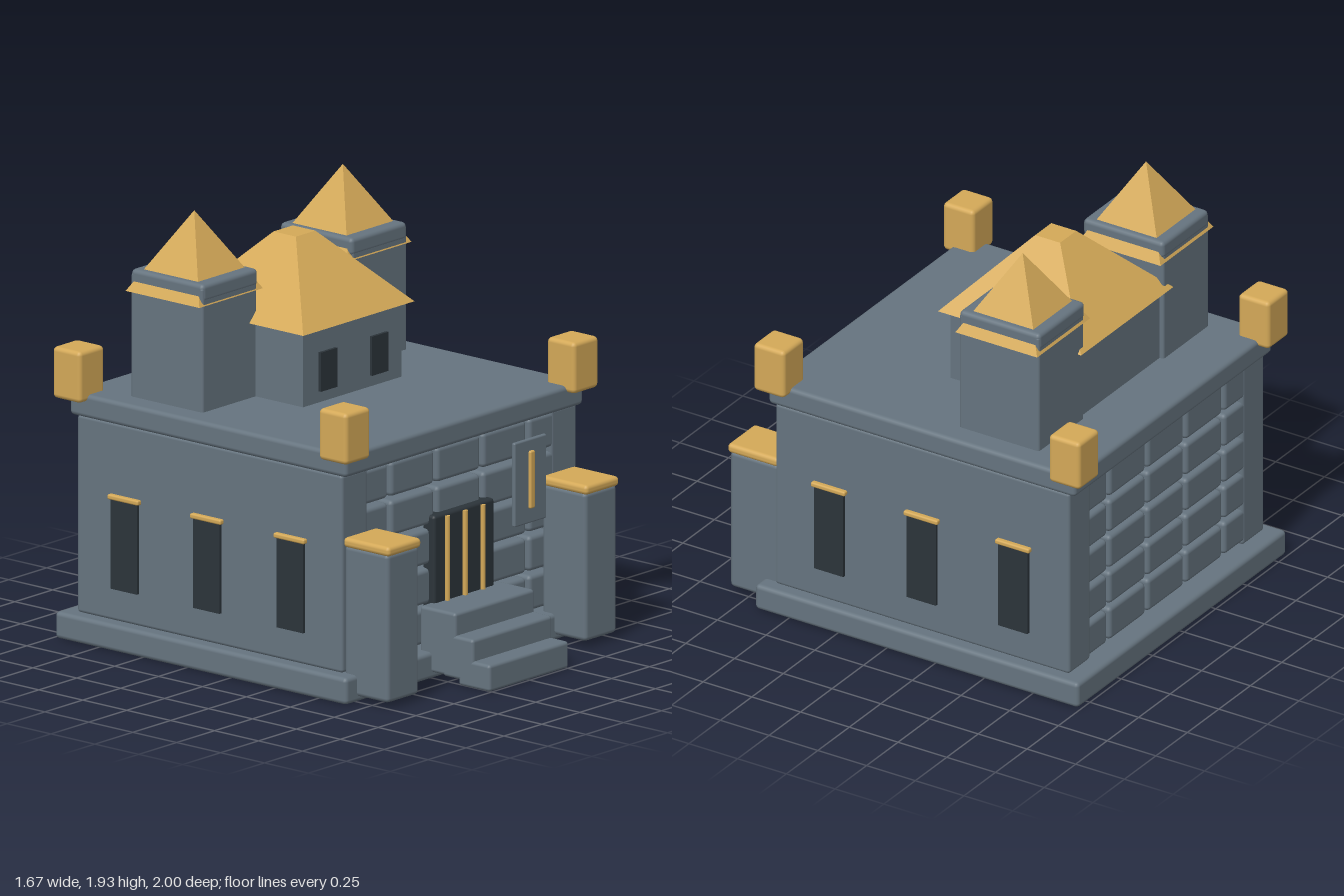
import * as THREE from 'three';
import { RoundedBoxGeometry } from 'three/addons/geometries/RoundedBoxGeometry.js';

export function createModel() {
  const model = new THREE.Group();
  model.name = 'fortress';

  const material = (name, color) => {
    const m = new THREE.MeshStandardMaterial({ color });
    m.name = name;
    return m;
  };
  const stone = material('slate stone', 0x66747f);
  const gold = material('gold', 0xd4a958);
  const dark = material('dark opening', 0x2c343a);

  const add = (name, geometry, mat) => {
    const mesh = new THREE.Mesh(geometry, mat);
    mesh.name = name;
    model.add(mesh);
    return mesh;
  };

  // Box from its limits on each axis, with an optional rounded edge
  const block = (name, mat, [x0, x1], [y0, y1], [z0, z1], r = 0) => {
    const size = [x1 - x0, y1 - y0, z1 - z0];
    const g = r ? new RoundedBoxGeometry(...size, 2, r) : new THREE.BoxGeometry(...size);
    g.translate((x0 + x1) / 2, (y0 + y1) / 2, (z0 + z1) / 2);
    return add(name, g, mat);
  };

  // Limits mirrored to the chosen side
  const side = (s, a, b) => (s > 0 ? [a, b] : [-b, -a]);

  // Four-sided roof; half widths at top and bottom
  const hipRoof = (name, top, bottom, y0, y1, x, z) => {
    const k = Math.SQRT2;
    let g = new THREE.CylinderGeometry(top * k, bottom * k, y1 - y0, 4);
    g.rotateY(Math.PI / 4);
    g = g.toNonIndexed();
    g.computeVertexNormals();
    g.translate(x, (y0 + y1) / 2, z);
    return add(name, g, gold);
  };

  // Plinth and roof slab
  block('plinth', stone, [-0.83, 0.83], [0, 0.12], [-0.99, 0.67], 0.02);
  block('roofSlab', stone, [-0.785, 0.785], [1.0, 1.105], [-0.945, 0.63], 0.02);

  // Block-built front and back walls with open joints
  for (const [name, z0, z1] of [['frontWallBlock', 0.44, 0.598], ['backWallBlock', -0.908, -0.75]]) {
    for (let row = 0; row < 5; row++) {
      for (let col = -2; col <= 2; col++) {
        const x = col * 0.304;
        const y = 0.135 + row * 0.176;
        block(name, stone, [x - 0.143, x + 0.143], [y, y + 0.157], [z0, z1], 0.02);
      }
    }
  }

  for (const s of [1, -1]) {
    // Solid side walls
    block('sideWall', stone, side(s, 0.605, 0.775), [0.12, 1.005], [-0.91, 0.6], 0.015);

    // Side windows with gold lintels
    for (const z of [0.315, -0.16, -0.63]) {
      block('sideWindow', dark, side(s, 0.772, 0.79), [0.265, 0.668], [z - 0.075, z + 0.075]);
      block('windowLintel', gold, side(s, 0.772, 0.8), [0.665, 0.688], [z - 0.088, z + 0.088], 0.008);
    }

    // Front pillars
    block('pillar', stone, side(s, 0.547, 0.757), [0.025, 0.69], [0.595, 0.845], 0.02);
    block('pillarCap', gold, side(s, 0.543, 0.763), [0.682, 0.726], [0.592, 0.855], 0.018);

    // Corner blocks on the roof
    for (const z of [0.515, -1.0]) {
      block('cornerBlock', gold, side(s, 0.67, 0.835), [1.075, 1.305], [z, z + 0.16], 0.02);
    }

    // Rear towers with caps and pyramid roofs
    block('tower', stone, side(s, 0.315, 0.675), [0.84, 1.66], [-0.69, -0.28], 0.012);
    block('towerCap', stone, side(s, 0.308, 0.675), [1.595, 1.675], [-0.692, -0.278], 0.02);
    hipRoof('towerRoof', 0, 0.21, 1.58, 1.935, s * 0.49, -0.487);

    // Keep windows
    block('keepWindow', dark, side(s, 0.115, 0.222), [1.155, 1.33], [-0.012, 0.004]);
  }

  // Central keep
  block('keep', stone, [-0.325, 0.325], [1.09, 1.45], [-0.67, -0.01]);
  hipRoof('keepRoof', 0.064, 0.367, 1.44, 1.765, 0, -0.34);

  // Entrance steps
  block('bottomStep', stone, [-0.265, 0.26], [0, 0.12], [0.82, 1.0], 0.015);
  block('middleStep', stone, [-0.265, 0.26], [0.025, 0.217], [0.73, 0.905], 0.015);
  block('topStep', stone, [-0.265, 0.26], [0.03, 0.317], [0.6, 0.805], 0.015);

  // Gate with gold bars
  block('gate', dark, [-0.2, 0.198], [0.28, 0.707], [0.56, 0.63], 0.015);
  for (const x of [-0.12, -0.003, 0.114]) {
    const bar = new THREE.CylinderGeometry(0.012, 0.012, 0.39, 12);
    bar.translate(x, 0.5, 0.635);
    add('gateBar', bar, gold);
  }

  // Wall plaque with a gold strip
  block('plaque', stone, [0.305, 0.517], [0.553, 0.93], [0.632, 0.652], 0.008);
  block('plaqueStrip', gold, [0.395, 0.427], [0.62, 0.878], [0.645, 0.665], 0.008);

  return model;
}
